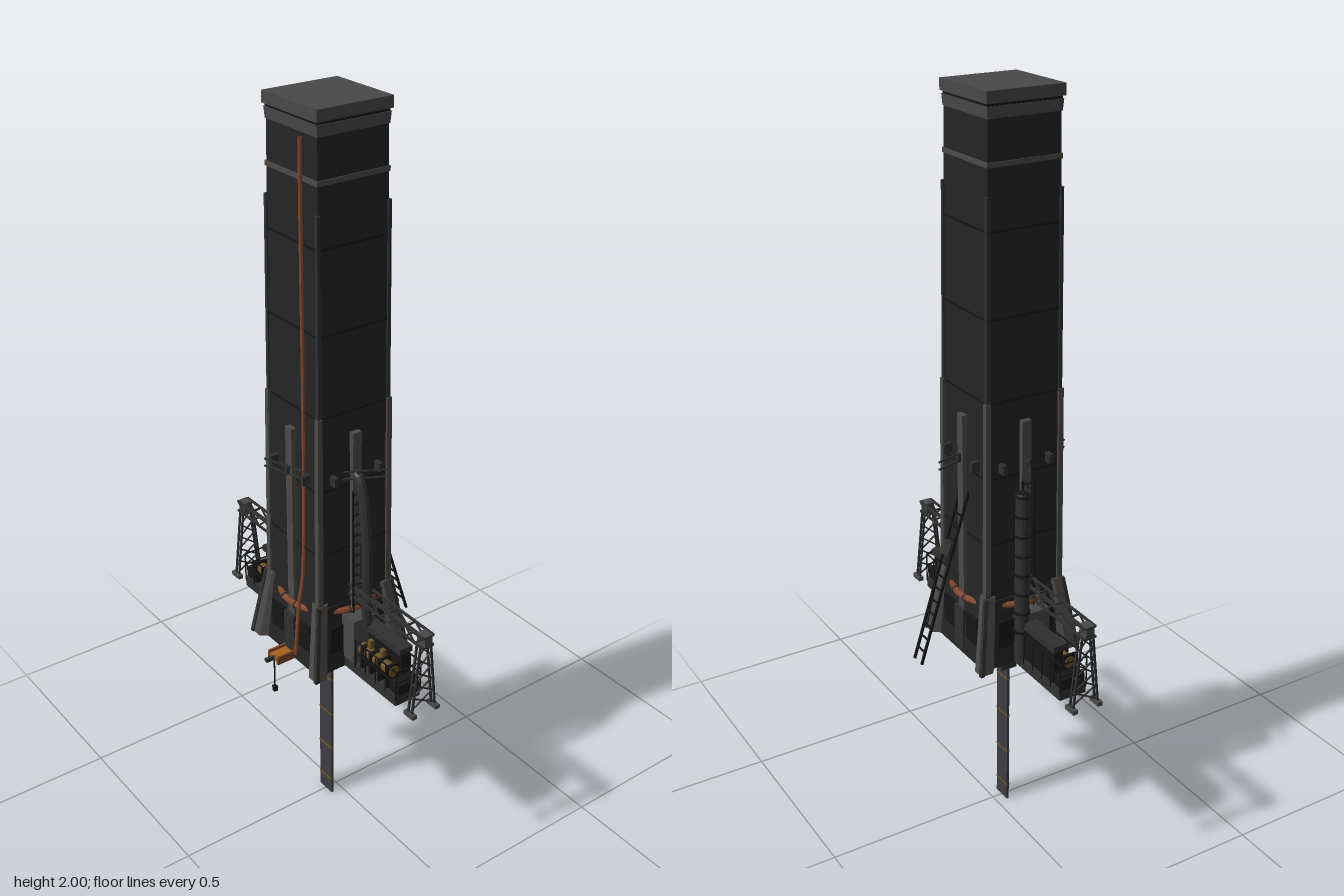
import * as THREE from 'three';

const Z0 = 0.024; // tower axis
const mat = (color) => new THREE.MeshStandardMaterial({ color, flatShading: true, side: THREE.DoubleSide });
const M = {
  body: mat(0x242424), dark: mat(0x161616), trim: mat(0x4c4b49), cap: mat(0x484848), metal: mat(0x303030),
  copper: mat(0x80462a), orange: mat(0xa8601c), brass: mat(0x6a5428), blade: mat(0x3c3c42),
};
const V = (x, y, z) => new THREE.Vector3(x, y, z);

export function createModel() {
  const root = new THREE.Group();
  root.name = 'tower';

  const add = (name, geo, m, parent = root) => {
    const mesh = new THREE.Mesh(geo, m);
    mesh.name = name;
    parent.add(mesh);
    return mesh;
  };
  const group = (name) => {
    const g = new THREE.Group();
    g.name = name;
    root.add(g);
    return g;
  };
  // box from min/max limits
  const box = (name, x0, x1, y0, y1, z0, z1, m, parent) => {
    const b = add(name, new THREE.BoxGeometry(Math.abs(x1 - x0), y1 - y0, z1 - z0), m, parent);
    b.position.set((x0 + x1) / 2, (y0 + y1) / 2, (z0 + z1) / 2);
    return b;
  };
  // square bar between two points
  const bar = (name, a, b, t, m, parent) => {
    const mesh = add(name, new THREE.BoxGeometry(t, t, a.distanceTo(b)), m, parent);
    mesh.position.copy(a).lerp(b, 0.5);
    mesh.lookAt(b);
    return mesh;
  };
  // square frustum on the tower axis, given by half widths
  const frustum = (name, y0, y1, h0, h1, m) => {
    const g = new THREE.CylinderGeometry(h1 * Math.SQRT2, h0 * Math.SQRT2, y1 - y0, 4).rotateY(Math.PI / 4);
    add(name, g, m).position.set(0, (y0 + y1) / 2, Z0);
  };
  // prism lofted between two matching outlines
  const loft = (lo, y0, hi, y1) => {
    const n = lo.length, pos = [], idx = [];
    lo.forEach(([x, z]) => pos.push(x, y0, z));
    hi.forEach(([x, z]) => pos.push(x, y1, z));
    for (let i = 0; i < n; i++) {
      const j = (i + 1) % n;
      idx.push(i, n + i, j, j, n + i, n + j);
      if (i > 1) idx.push(0, i - 1, i, n, n + i, n + i - 1);
    }
    const g = new THREE.BufferGeometry();
    g.setAttribute('position', new THREE.Float32BufferAttribute(pos, 3));
    g.setIndex(idx);
    g.computeVertexNormals();
    return g;
  };

  // Main shaft, base and cap
  const halfAt = (y) => 0.112 - 0.014 * (y - 0.72) / 1.22;
  frustum('base', 0.53, 0.72, 0.13, 0.115, M.body);
  frustum('shaft', 0.72, 1.94, halfAt(0.72), halfAt(1.94), M.body);
  for (const y of [0.88, 1.06, 1.26, 1.47, 1.68]) frustum('panelSeam', y, y + 0.005, halfAt(y) + 0.0007, halfAt(y) + 0.0007, M.dark);
  frustum('upperBand', 1.83, 1.842, 0.102, 0.102, M.trim);
  frustum('capLower', 1.938, 1.965, 0.1, 0.102, M.cap);
  frustum('capGroove', 1.965, 1.972, 0.1, 0.1, M.dark);
  frustum('capUpper', 1.972, 2, 0.105, 0.105, M.cap);

  // Corner trims and buttresses, repeated on four corners
  const corners = group('corners');
  corners.position.z = Z0;
  const ell = (h, w, t) => [[h, h], [h - w, h], [h - w, h - t], [h - t, h - t], [h - t, h - w], [h, h - w]];
  const foot = (h, w) => [[h, h], [h - w, h], [0.075, 0.1], [0.075, 0.075], [0.1, 0.075], [h, h - w]];
  for (let i = 0; i < 4; i++) {
    const c = new THREE.Group();
    c.name = 'corner';
    c.rotation.y = i * Math.PI / 2;
    corners.add(c);
    add('buttress', loft(foot(0.149, 0.034), 0.53, foot(0.119, 0.028), 0.735), M.trim, c);
    add('buttressRib', loft(ell(0.153, 0.012, 0.008), 0.53, ell(0.122, 0.01, 0.008), 0.735), M.metal, c);
    add('lowerTrim', loft(ell(0.117, 0.016, 0.012), 0.72, ell(0.112, 0.014, 0.012), 1.265), M.trim, c);
    add('upperTrim', loft(ell(0.109, 0.01, 0.01), 1.265, ell(0.105, 0.009, 0.01), 1.765), M.metal, c);
    // face pilaster with base panels
    box('pilaster', -0.013, 0.013, 0.54, 1.205, 0.1, 0.121, M.trim, c);
    box('pilasterFoot', -0.022, 0.022, 0.54, 0.66, 0.1, 0.13, M.metal, c);
    for (const s of [-1, 1]) box('basePanel', s * 0.03, s * 0.085, 0.56, 0.66, 0.1, 0.126, M.dark, c);
    // clamp rails high on the face
    for (const y of [1.08, 1.1]) bar('clampRail', V(-0.07, y, 0.126), V(0.07, y, 0.126), 0.004, M.metal, c);
    for (const x of [-0.068, 0, 0.068]) box('clampBlock', x - 0.006, x + 0.006, 1.078, 1.102, 0.1, 0.13, M.metal, c);
  }

  // Copper ring main and riser
  const ring = add('ringPipe', new THREE.TorusGeometry(0.127, 0.009, 8, 40), M.copper);
  ring.rotation.x = Math.PI / 2;
  ring.position.set(0, 0.7, Z0);
  for (let i = 0; i < 16; i++) {
    const a = (i + 0.5) * Math.PI / 8;
    const f = add('ringFlange', new THREE.CylinderGeometry(0.011, 0.011, 0.004, 8), M.metal);
    f.position.set(0.127 * Math.cos(a), 0.7, Z0 + 0.127 * Math.sin(a));
    f.rotation.set(Math.PI / 2, 0, a);
  }
  const riser = [V(0.045, 0.56, 0.165), V(0.045, 0.72, 0.151), V(0.045, 0.8, 0.138), V(0.045, 1.93, 0.131)];
  add('riserPipe', new THREE.TubeGeometry(new THREE.CatmullRomCurve3(riser), 40, 0.005, 8), M.copper);

  // Side platforms, gantries and lattices
  for (const s of [-1, 1]) {
    const p = group(s > 0 ? 'leftPlatform' : 'rightPlatform');
    const X = (a) => s * a;
    box('deck', X(0.12), X(0.343), 0.53, 0.56, -0.013, 0.066, M.metal, p);
    box('deckEnd', X(0.31), X(0.345), 0.56, 0.59, -0.008, 0.06, M.dark, p);
    box('housing', X(0.12), X(0.305), 0.56, 0.65, -0.008, 0.02, M.dark, p);
    box('housingRoof', X(0.12), X(0.31), 0.65, 0.668, -0.012, 0.028, M.metal, p);
    box('junctionBox', X(0.115), X(0.17), 0.56, 0.69, 0, 0.068, M.cap, p);
    const tank = add('tank', new THREE.CylinderGeometry(0.016, 0.016, 0.13, 12), M.brass, p);
    tank.rotation.z = Math.PI / 2;
    tank.position.set(X(0.24), 0.605, 0.042);
    for (const x of [0.19, 0.225, 0.26, 0.295]) box('tankSaddle', X(x), X(x + 0.008), 0.56, 0.626, 0.024, 0.062, M.dark, p);
    for (const x of [0.2, 0.25]) box('valve', X(x), X(x + 0.012), 0.62, 0.645, 0.034, 0.046, M.brass, p);
    // railings
    for (const z of [-0.013, 0.066]) {
      for (const y of [0.6, 0.635]) bar('rail', V(X(0.17), y, z), V(X(0.343), y, z), 0.003, M.dark, p);
      for (let x = 0.175; x < 0.35; x += 0.042) bar('railPost', V(X(x), 0.55, z), V(X(x), 0.635, z), 0.003, M.dark, p);
    }
    for (const y of [0.6, 0.635]) bar('endRail', V(X(0.343), y, -0.013), V(X(0.343), y, 0.066), 0.003, M.dark, p);

    // gantry truss
    const g = group(s > 0 ? 'leftGantry' : 'rightGantry');
    const n = 9, x0 = 0.1, step = (0.412 - x0) / n;
    for (const z of [0.008, 0.04]) {
      for (const y of [0.738, 0.767]) bar('chord', V(X(x0), y, z), V(X(0.412), y, z), 0.0055, M.metal, g);
      for (let i = 0; i < n; i++) {
        const up = i % 2;
        bar('brace', V(X(x0 + i * step), up ? 0.767 : 0.738, z), V(X(x0 + (i + 1) * step), up ? 0.738 : 0.767, z), 0.004, M.metal, g);
      }
    }
    for (let i = 1; i <= n; i += 2) {
      for (const y of [0.738, 0.767]) bar('crossTie', V(X(x0 + i * step), y, 0.008), V(X(x0 + i * step), y, 0.04), 0.004, M.metal, g);
    }
    box('headBlock', X(0.383), X(0.413), 0.735, 0.77, 0.012, 0.036, M.cap, g);
    // trestle legs
    const legZ = (side, y) => Z0 + side * (0.016 + 0.021 * (0.738 - y) / 0.2);
    for (const side of [-1, 1]) {
      for (const x of [0.388, 0.402]) bar('leg', V(X(x), 0.738, legZ(side, 0.738)), V(X(x), 0.54, legZ(side, 0.54)), 0.005, M.metal, g);
      const fz = legZ(side, 0.535);
      box('foot', X(0.378), X(0.414), 0.53, 0.542, fz - 0.007, fz + 0.007, M.cap, g);
      for (let i = 0; i < 5; i++) {
        const ya = 0.738 - i * 0.039, yb = ya - 0.039;
        bar('legBrace', V(X(0.395), ya, legZ(side, ya)), V(X(0.395), yb, legZ(-side, yb)), 0.0035, M.metal, g);
        bar('legTie', V(X(0.388), yb, legZ(side, yb)), V(X(0.402), yb, legZ(side, yb)), 0.0035, M.metal, g);
      }
    }

    // ladder lattice beside the shaft
    const l = group('sideLattice');
    for (const z of [0.008, 0.042]) bar('latticePost', V(X(0.133), 0.66, z), V(X(0.128), 1.05, z), 0.004, M.dark, l);
    for (let y = 0.68; y < 1.05; y += 0.03) {
      bar('latticeRung', V(X(0.13), y, 0.008), V(X(0.13), y, 0.042), 0.003, M.dark, l);
      bar('latticeStay', V(X(0.105), y, 0.025), V(X(0.155), y, s > 0 ? 0.025 : 0.01), 0.003, M.dark, l);
    }
  }

  // Bent duct on the left side
  const duct = [V(0.1, 1.09, Z0), V(0.125, 1.085, Z0), V(0.145, 1.04, Z0), V(0.158, 0.96, Z0), V(0.165, 0.86, Z0), V(0.166, 0.66, Z0)];
  add('bentDuct', new THREE.TubeGeometry(new THREE.CatmullRomCurve3(duct), 32, 0.014, 10), M.metal);
  // Upright stack on the right side
  add('stack', new THREE.CylinderGeometry(0.019, 0.019, 0.47, 14, 1, true), M.metal).position.set(-0.155, 0.795, -0.008);
  add('stackLid', new THREE.CylinderGeometry(0.015, 0.019, 0.006, 14), M.dark).position.set(-0.155, 1.028, -0.008);
  for (let y = 0.64; y < 1.04; y += 0.055) {
    add('stackBand', new THREE.CylinderGeometry(0.022, 0.022, 0.006, 14), M.dark).position.set(-0.155, y, -0.008);
  }

  // Back ladder with a small landing
  const ladder = group('backLadder');
  const at = (x, t) => V(x, 1.0 - 0.467 * t, -0.083 - 0.147 * t);
  for (const x of [-0.019, 0.019]) bar('ladderRail', at(x, 0), at(x, 1), 0.006, M.dark, ladder);
  for (let i = 1; i < 14; i++) bar('ladderRung', at(-0.019, i / 14), at(0.019, i / 14), 0.004, M.dark, ladder);
  const landing = bar('ladderBox', at(0, 0.3), at(0, 0.38), 0.018, M.metal, ladder);
  landing.scale.x = 2;

  // Front arm with hanging hook
  const arm = group('frontArm');
  box('armBeam', -0.02, 0.02, 0.532, 0.545, 0.14, 0.205, M.orange, arm);
  for (const x of [-0.02, 0.02]) box('armSide', x - 0.003, x + 0.003, 0.528, 0.552, 0.14, 0.207, M.copper, arm);
  box('armTip', -0.005, 0.005, 0.535, 0.545, 0.2, 0.23, M.metal, arm);
  bar('hookCable', V(0, 0.535, 0.203), V(0, 0.445, 0.203), 0.003, M.dark, arm);
  box('hook', -0.006, 0.006, 0.43, 0.446, 0.198, 0.208, M.dark, arm);

  // Blade below, with its socket and struts
  box('blade', -0.027, 0.027, 0, 0.53, 0.029, 0.036, M.blade);
  for (const y of [0.045, 0.16, 0.28, 0.4]) box('bladeBand', -0.0275, 0.0275, y, y + 0.006, 0.0285, 0.0375, M.brass);
  for (const [y, r] of [[0.512, 0.036], [0.49, 0.031], [0.468, 0.027], [0.446, 0.023]]) {
    box('socketStep', -0.03, 0.03, y - 0.008, y + 0.018, 0.033 - r, 0.033 + r, y > 0.5 ? M.cap : M.metal);
  }
  for (const s of [-1, 1]) {
    for (const x of [-0.022, 0.022]) {
      bar('socketStrut', V(x, 0.44, 0.033 + s * 0.012), V(x * 1.3, 0.532, 0.033 + s * 0.075), 0.004, M.metal);
      bar('socketPipe', V(x, 0.47, 0.033 + s * 0.03), V(x, 0.532, 0.033 + s * 0.05), 0.006, M.copper);
    }
  }
  return root;
}
